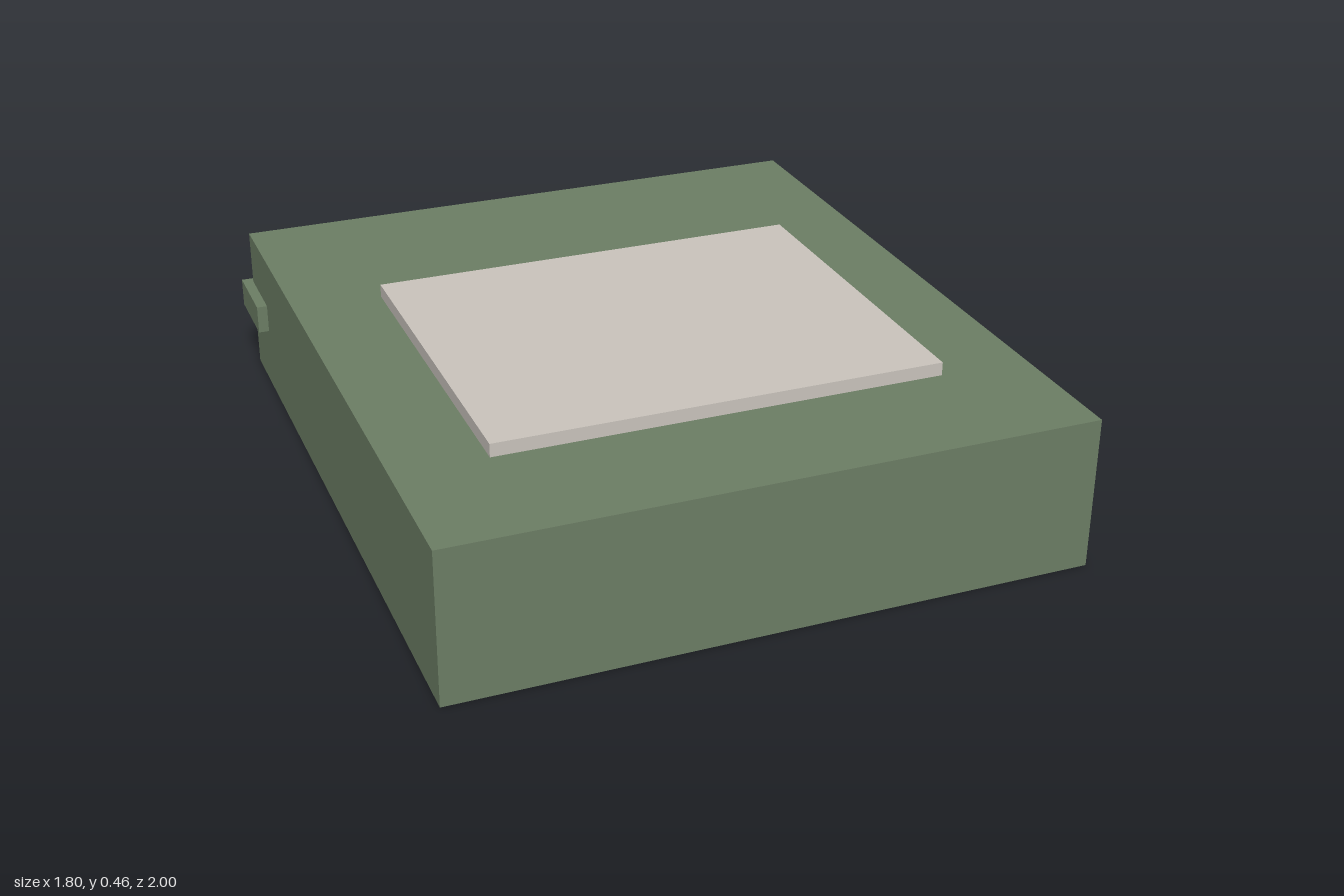
import * as THREE from 'three';

export function createModel() {
  const model = new THREE.Group();
  const green = new THREE.MeshStandardMaterial({ color: 0x6b7d64 });
  green.name = 'sage green';
  const stone = new THREE.MeshStandardMaterial({ color: 0xc9c3bc });
  stone.name = 'pale stone';

  // Box given by its lowest and highest corners
  function addBox(name, material, min, max) {
    const size = max.map((v, i) => v - min[i]);
    const mesh = new THREE.Mesh(new THREE.BoxGeometry(...size), material);
    mesh.position.set(...max.map((v, i) => (v + min[i]) / 2));
    mesh.name = name;
    model.add(mesh);
  }

  // Main slab
  addBox('body', green, [-0.87, 0, -0.975], [0.87, 0.425, 1]);
  // Band wrapping the rear edge and corners
  addBox('rearBand', green, [-0.9, 0.185, -1], [0.9, 0.267, -0.78]);
  // Raised plate on the top
  addBox('topPanel', stone, [-0.618, 0.425, -0.38], [0.618, 0.462, 0.633]);

  return model;
}
